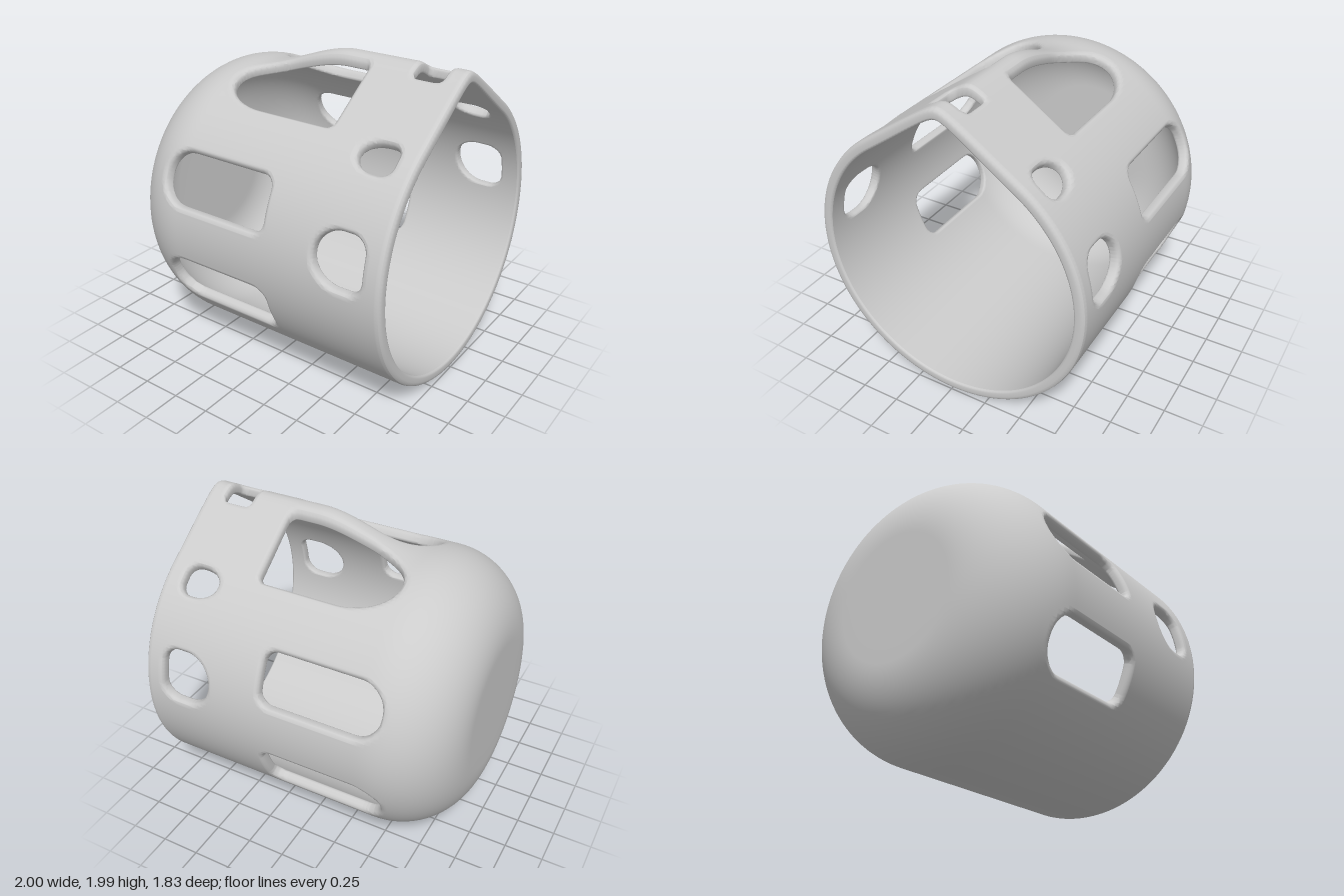
import * as THREE from 'three';
import { mergeVertices } from 'three/addons/utils/BufferGeometryUtils.js';

const R = 0.914, WALL = 0.07, FILLET = 0.5, FLAT = R - FILLET;
const ARC = FILLET * Math.PI / 2, STRAIGHT = 1.5;
const OUTER_ROUND = 0.03, INNER_ROUND = 0.015;

// Openings, mirrored about the ridge: x from/to, degrees from the ridge from/to,
// corner radius at the closed end, at the open end, stretch of the closed end
const holes = [
  [-0.61, 0.18, 56, 78.3, 0.17, 0.08, 1],    // upper side slot
  [-0.61, 0.18, 101.7, 124, 0.17, 0.08, 1],  // lower side slot
  [0.54, 0.87, 67.2, 89, 0.17, 0.1, 1],      // large rim window
  [0.63, 0.87, 33, 45.5, 0.098, 0.07, 1.4],  // small rim window
  [0.68, 0.87, -6.3, 6.3, 0.03, 0.03, 1],    // ridge notch
  [-0.45, 0.39, 4.2, 32.6, 0.22, 0.045, 1.45] // large roof window
];

// Distance from the nearest opening or from the rim, negative where cut away
function edgeDistance(x, t) {
  let d = 1 - x;
  for (const [x0, x1, a0, a1, rClosed, rOpen, stretch] of holes) {
    const k = R * Math.PI / 180, half = (a1 - a0) * k / 2;
    const v = Math.abs(Math.abs(t) * R - (a0 + a1) * k / 2);
    // each end is measured from its own corner centre
    const left = x0 + rClosed * stretch, right = x1 - rOpen;
    const mid = (left + right) / 2;
    const r = x < mid ? rClosed : rOpen;
    const qx = x < mid ? (left - x) / stretch : x - right;
    const qv = v - half + r;
    const sd = Math.hypot(Math.max(qx, 0), Math.max(qv, 0)) + Math.min(Math.max(qx, qv), 0) - r;
    d = Math.min(d, sd);
  }
  return d;
}

// Lengthwise profile: flat end, fillet, straight side; with outward normal
function profile(s) {
  if (s < FLAT) return { x: -1, r: s, nx: -1, nr: 0 };
  if (s < FLAT + ARC) {
    const a = (s - FLAT) / FILLET;
    return {
      x: -1 + FILLET - FILLET * Math.cos(a), r: FLAT + FILLET * Math.sin(a),
      nx: -Math.cos(a), nr: Math.sin(a)
    };
  }
  return { x: -1 + FILLET + s - FLAT - ARC, r: R, nx: 0, nr: 1 };
}

// Round section growing into a teardrop with a softened ridge
function ridgeScale(x, t) {
  const tear = 1 / Math.cos(Math.max(0, 0.61 - Math.hypot(t, 0.05)));
  return 1 + THREE.MathUtils.smoothstep(x, -0.45, 0.22) * (tear - 1);
}

// Point at a given depth under the outer skin
function surfacePoint({ s, t }, depth) {
  const p = profile(s);
  const r = p.r * ridgeScale(p.x, t) - depth * p.nr;
  return [p.x - depth * p.nx, R + Math.max(r, 0) * Math.cos(t), Math.max(r, 0) * Math.sin(t)];
}

const roundOver = (d, r) => d >= r ? 0 : r - Math.sqrt(r * r - (r - d) ** 2);
const outer = p => surfacePoint(p, roundOver(p.d, OUTER_ROUND));
const inner = p => surfacePoint(p, WALL - roundOver(p.d, INNER_ROUND));

// Part of a convex polygon above (sign 1) or below (sign -1) a distance level
function clip(poly, level, sign) {
  const out = [];
  poly.forEach((a, i) => {
    const b = poly[(i + 1) % poly.length];
    if (sign * (a.d - level) >= 0) out.push(a);
    if ((a.d - level) * (b.d - level) < 0) {
      const k = (level - a.d) / (b.d - a.d);
      out.push({ s: a.s + (b.s - a.s) * k, t: a.t + (b.t - a.t) * k, d: level });
    }
  });
  return out;
}

function buildShell() {
  const positions = [];
  const tri = (a, b, c) => positions.push(...a, ...b, ...c);

  // Rows along the profile, columns around the axis
  const rows = [];
  for (let i = 0; i < 4; i++) rows.push(FLAT * i / 4);
  for (let i = 0; i < 20; i++) rows.push(FLAT + ARC * i / 20);
  for (let i = 0; i <= 58; i++) rows.push(FLAT + ARC + (STRAIGHT + 0.013) * i / 58);
  const columns = 224;
  const grid = rows.map(s => Array.from({ length: columns + 1 }, (_, j) => {
    const t = (j / columns * 2 - 1) * Math.PI;
    return { s, t, d: edgeDistance(profile(s).x, t) };
  }));

  const addPolygon = poly => {
    // cut away the openings, then slice along the rounded edges
    let pieces = [clip(poly, 0, 1)];
    for (const level of [0.004, 0.014, 0.03]) {
      pieces = pieces.flatMap(p => [clip(p, level, 1), clip(p, level, -1)]).filter(p => p.length > 2);
    }
    for (const p of pieces) {
      const o = p.map(outer), n = p.map(inner);
      for (let i = 1; i < p.length - 1; i++) {
        tri(o[0], o[i], o[i + 1]);
        tri(n[0], n[i + 1], n[i]);
      }
      // wall between the skins along a cut edge
      for (let i = 0; i < p.length; i++) {
        const j = (i + 1) % p.length;
        if (p[i].d === 0 && p[j].d === 0) {
          tri(o[j], o[i], n[i]);
          tri(o[j], n[i], n[j]);
        }
      }
    }
  };

  for (let i = 0; i < rows.length - 1; i++) {
    for (let j = 0; j < columns; j++) {
      const a = grid[i][j], b = grid[i][j + 1], c = grid[i + 1][j + 1], e = grid[i + 1][j];
      if (i > 0) addPolygon([a, b, c]);
      addPolygon([a, c, e]);
    }
  }

  let geometry = new THREE.BufferGeometry();
  geometry.setAttribute('position', new THREE.Float32BufferAttribute(positions, 3));
  geometry = mergeVertices(geometry, 1e-5);
  geometry.computeVertexNormals();
  return geometry;
}

export function createModel() {
  const group = new THREE.Group();
  group.name = 'ventedSleeve';
  const material = new THREE.MeshStandardMaterial({ color: 0xcccccc });
  const shell = new THREE.Mesh(buildShell(), material);
  shell.name = 'shell';
  group.add(shell);
  return group;
}
